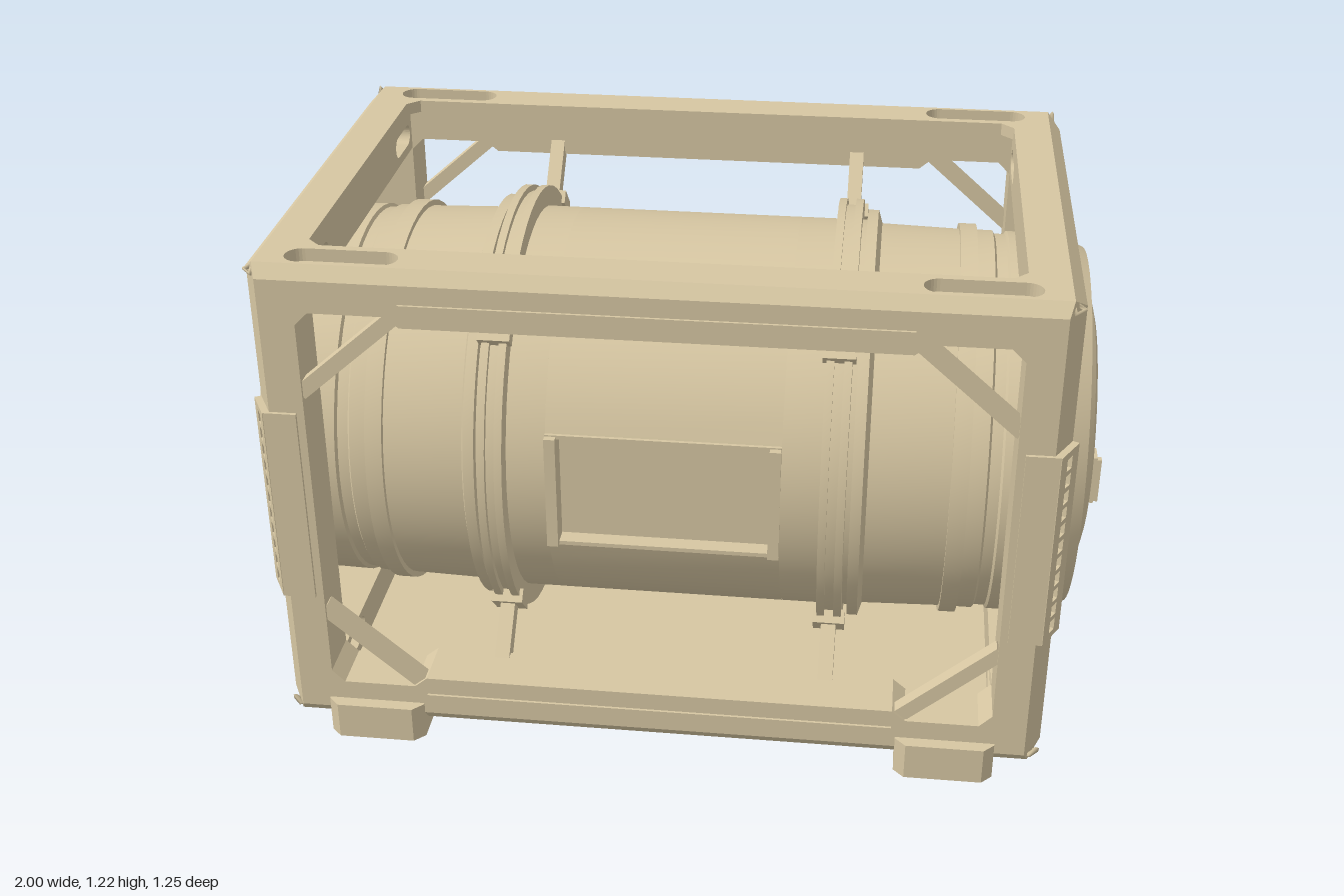
import * as THREE from 'three';
import { toCreasedNormals } from 'three/addons/utils/BufferGeometryUtils.js';

const paint = new THREE.MeshStandardMaterial({ color: 0xd6c6a2, side: THREE.DoubleSide });
const AXIS = 0.625; // height of the tank axis

function add(parent, name, geo, x = 0, y = 0, z = 0) {
  const m = new THREE.Mesh(geo, paint);
  m.name = name;
  m.position.set(x, y, z);
  parent.add(m);
  return m;
}
const box = (w, h, d) => new THREE.BoxGeometry(w, h, d);
const poly = (pts, Type = THREE.Shape) => new Type(pts.map(p => new THREE.Vector2(...p)));
const rect = (x0, y0, x1, y1, Type) => poly([[x0, y0], [x1, y0], [x1, y1], [x0, y1]], Type);

function slot(cx, cy, w, h) {
  const p = new THREE.Path(), r = h / 2, a = w / 2 - r;
  p.moveTo(cx - a, cy - r);
  p.lineTo(cx + a, cy - r);
  p.absarc(cx + a, cy, r, -Math.PI / 2, Math.PI / 2);
  p.lineTo(cx - a, cy + r);
  p.absarc(cx - a, cy, r, Math.PI / 2, Math.PI * 1.5);
  return p;
}
function plate(shape, holes, depth) {
  shape.holes.push(...holes);
  return new THREE.ExtrudeGeometry(shape, { depth, bevelEnabled: false, curveSegments: 8 });
}
// Turned part around the x axis; profile is [x, radius]
function turned(profile, start = 0, length = Math.PI * 2) {
  const segs = Math.round(56 * length / (Math.PI * 2));
  const pts = profile.map(([x, r]) => new THREE.Vector2(r, x));
  const g = new THREE.LatheGeometry(pts, segs, start, length);
  return toCreasedNormals(g.rotateZ(-Math.PI / 2), 0.4);
}

// Sloped strips and corner triangles joining the flat frame panels
function bevelShell() {
  const pos = [];
  const T = (sx, s, sz) => [0.87 * sx, s > 0 ? 1.22 : 0.035, 0.57 * sz];
  const F = (sx, s, sz) => [0.86 * sx, s > 0 ? 1.19 : 0.065, 0.595 * sz];
  const E = (sx, s, sz) => [0.9 * sx, s > 0 ? 1.19 : 0.065, 0.523 * sz];
  const tri = (a, b, c) => {
    const [A, B, C] = [a, b, c].map(p => new THREE.Vector3(...p));
    const n = B.clone().sub(A).cross(C.clone().sub(A));
    const out = A.clone().add(B).add(C).divideScalar(3).sub(new THREE.Vector3(0, AXIS, 0));
    pos.push(...a, ...(n.dot(out) > 0 ? [...b, ...c] : [...c, ...b]));
  };
  const quad = (a, b, c, d) => { tri(a, b, c); tri(a, c, d); };
  for (const u of [-1, 1]) for (const v of [-1, 1]) {
    quad(T(-1, u, v), T(1, u, v), F(1, u, v), F(-1, u, v));
    quad(T(v, u, -1), T(v, u, 1), E(v, u, 1), E(v, u, -1));
    quad(F(u, -1, v), F(u, 1, v), E(u, 1, v), E(u, -1, v));
    for (const w of [-1, 1]) tri(T(u, w, v), F(u, w, v), E(u, w, v));
  }
  const g = new THREE.BufferGeometry();
  g.setAttribute('position', new THREE.Float32BufferAttribute(pos, 3));
  g.computeVertexNormals();
  return g;
}

function buildFrame() {
  const frame = new THREE.Group();
  frame.name = 'frame';
  add(frame, 'bevelledEdges', bevelShell());

  // Top ring and floor
  const topSlots = [-1, 1].flatMap(a => [-1, 1].map(b => slot(a * 0.685, b * 0.525, 0.25, 0.07)));
  const topHole = poly([[-0.78, -0.44], [-0.75, -0.47], [0.75, -0.47], [0.78, -0.44],
    [0.78, 0.44], [0.75, 0.47], [-0.75, 0.47], [-0.78, 0.44]], THREE.Path);
  add(frame, 'topRing', plate(rect(-0.87, -0.57, 0.87, 0.57), [topHole, ...topSlots], 0.03)
    .rotateX(-Math.PI / 2), 0, 1.19);
  add(frame, 'floor', box(1.74, 0.03, 1.14), 0, 0.05);

  for (const s of [1, -1]) {
    // Long side, same on the front and the back
    const side = new THREE.Group();
    side.name = s > 0 ? 'frontSide' : 'backSide';
    side.rotation.y = s > 0 ? 0 : Math.PI;
    frame.add(side);
    const half = [[0.78, 1.085], [0.75, 1.115], [0.58, 1.115], [0.55, 1.09]];
    const upper = [...half, ...half.map(([x, y]) => [-x, y]).reverse()];
    const lower = upper.map(([x, y]) => [x, 1.255 - y]).reverse();
    add(side, 'sidePanel', plate(rect(-0.86, 0.065, 0.86, 1.19),
      [poly([...upper, ...lower], THREE.Path)], 0.125), 0, 0, 0.47);
    for (const y of [1.14, 0.115]) add(side, 'beamRib', box(1.1, 0.012, 0.012), 0, y, 0.595);
    for (const a of [-1, 1]) {
      for (const b of [-1, 1]) {
        const brace = add(side, 'cornerBrace', box(0.3, 0.035, 0.035), a * 0.675, 0.6275 + b * 0.385, 0.57);
        brace.rotation.z = -a * b * 0.72;
      }
      add(side, 'postPad', box(0.075, 0.485, 0.02), a * 0.835, AXIS, 0.593);

      // Slotted guard strip on the post bevel
      const holes = [];
      for (let i = -5; i <= 5; i++) holes.push(rect(-0.012, i * 0.042 - 0.015, 0.012, i * 0.042 + 0.015, THREE.Path));
      const guard = add(side, 'postGuard', plate(rect(-0.042, -0.242, 0.042, 0.242), holes, 0.016),
        a * 0.88, AXIS, 0.559);
      guard.rotation.y = a * 1.064;

      // Tapered foot
      const foot = poly([[0.56, -0.47], [0.79, -0.47], [0.79, -0.6], [0.765, -0.625], [0.585, -0.625], [0.56, -0.6]]
        .map(([x, z]) => [a * x, z]));
      add(side, 'foot', plate(foot, [], 0.092).rotateX(-Math.PI / 2));

      // Triangular sockets on the corners
      for (const b of [-1, 1]) {
        const ring = add(side, 'cornerSocket', new THREE.TorusGeometry(0.018, 0.006, 4, 3),
          a * 0.877, AXIS + b * 0.0025 + b * 0.573, 0.563);
        ring.lookAt(ring.position.clone().add(new THREE.Vector3(a * 0.45, b * 0.75, 0.4)));
        ring.rotateZ(b * Math.PI / 2);
      }
    }

    // Short end with four lifting slots
    const end = new THREE.Group();
    end.name = s > 0 ? 'leftEnd' : 'rightEnd';
    end.rotation.y = s * Math.PI / 2;
    frame.add(end);
    const slots = [-1, 1].flatMap(a => [1.139, 0.116].map(y => slot(a * 0.381, y, 0.144, 0.052)));
    add(end, 'endPanel', plate(rect(-0.523, 0.065, 0.523, 1.19),
      [rect(-0.47, 0.16, 0.47, 1.09, THREE.Path), ...slots], 0.12), 0, 0, 0.78);
    add(end, 'lowerCatch', box(0.137, 0.04, 0.05), 0, 0.055, 0.876);
  }
  return frame;
}

function buildTank() {
  const tank = new THREE.Group();
  tank.name = 'tank';
  tank.position.y = AXIS;
  const R = 0.475, gap = 0.31;

  for (const s of [1, -1]) {
    const half = new THREE.Group();
    half.name = s > 0 ? 'leftHalf' : 'rightHalf';
    half.rotation.y = s > 0 ? 0 : Math.PI;
    tank.add(half);

    // Barrel shoulder, collar, groove and domed cap
    add(half, 'shell', turned([
      [0.27, R], [0.43, R], [0.43, 0.5], [0.455, 0.5], [0.465, 0.468], [0.65, 0.463], [0.65, 0.477], [0.69, 0.477],
      [0.69, 0.463], [0.73, 0.463], [0.735, 0.455], [0.76, 0.455], [0.765, 0.463], [0.895, 0.46], [0.95, 0.432],
      [0.95, 0.42], [0.91, 0.4], [0.91, 0.39], [0.93, 0.385], [0.93, 0.368], [0.89, 0.36], [0.89, 0.343],
      [0.935, 0.34], [0.958, 0.33], [0.973, 0.312], [0.98, 0.285], [0.98, 0.262], [0.972, 0.255],
      [0.968, 0.222], [0.96, 0.22], [0.96, 0.216], [0.968, 0.214], [0.968, 0.0001]]));
    add(half, 'hub', turned([[0.96, 0.078], [0.978, 0.078], [0.978, 0.07], [0.97, 0.068], [0.97, 0.0001]]));
    for (const b of [-1, 1]) {
      add(half, 'capBolt', new THREE.CylinderGeometry(0.019, 0.019, 0.012, 16).rotateZ(Math.PI / 2), 0.968, b * 0.125);
      add(half, 'capSeam', box(0.006, 0.135, 0.005), 0.967, b * 0.146, 0);
      // Grip: foot plate and outer block
      const grip = poly([[0.195, -0.045], [0.225, -0.06], [0.272, -0.06], [0.272, 0.06], [0.225, 0.06], [0.195, 0.045]]
        .map(([z, y]) => [-b * z, y]));
      add(half, 'grip', plate(grip, [], 0.03).rotateY(Math.PI / 2), 0.96);
      add(half, 'gripBlock', box(0.035, 0.11, 0.016), 0.9825, 0, b * 0.264);
    }

    // Strap with twin lips, held by diagonal struts
    add(half, 'strap', turned([[0.36, R], [0.36, 0.525], [0.378, 0.525], [0.378, 0.51],
      [0.4, 0.51], [0.4, 0.525], [0.418, 0.525], [0.418, R]]));
    for (let i = 0; i < 4; i++) {
      const arm = new THREE.Group();
      arm.name = 'strut';
      arm.rotation.x = Math.PI / 4 + i * Math.PI / 2;
      half.add(arm);
      add(arm, 'strutRod', box(0.035, 0.2, 0.045), 0.389, 0.59, 0);
      add(arm, 'strutClamp', box(0.075, 0.035, 0.08), 0.389, 0.522, 0);
    }

    // Middle wall quarter-turn pieces leave room for the pocket on each side
    const start = gap + (s > 0 ? 0 : Math.PI);
    add(tank, 'middleWall', turned([[-0.27, R], [0.27, R]], start, Math.PI - 2 * gap));

    // Recessed pocket
    const pocket = new THREE.Group();
    pocket.name = 'pocket';
    pocket.rotation.y = s > 0 ? 0 : Math.PI;
    tank.add(pocket);
    add(pocket, 'pocketFloor', box(0.54, 0.29, 0.01), 0, 0, 0.415);
    for (const a of [-1, 1]) {
      add(pocket, 'pocketEnd', box(0.026, 0.285, 0.066), a * 0.257, 0, 0.443);
      add(pocket, 'pocketEdge', box(0.54, 0.01, 0.05), 0, a * 0.141, 0.435);
    }
  }
  return tank;
}

export function createModel() {
  const model = new THREE.Group();
  model.name = 'framedTank';
  model.add(buildFrame(), buildTank());
  return model;
}
